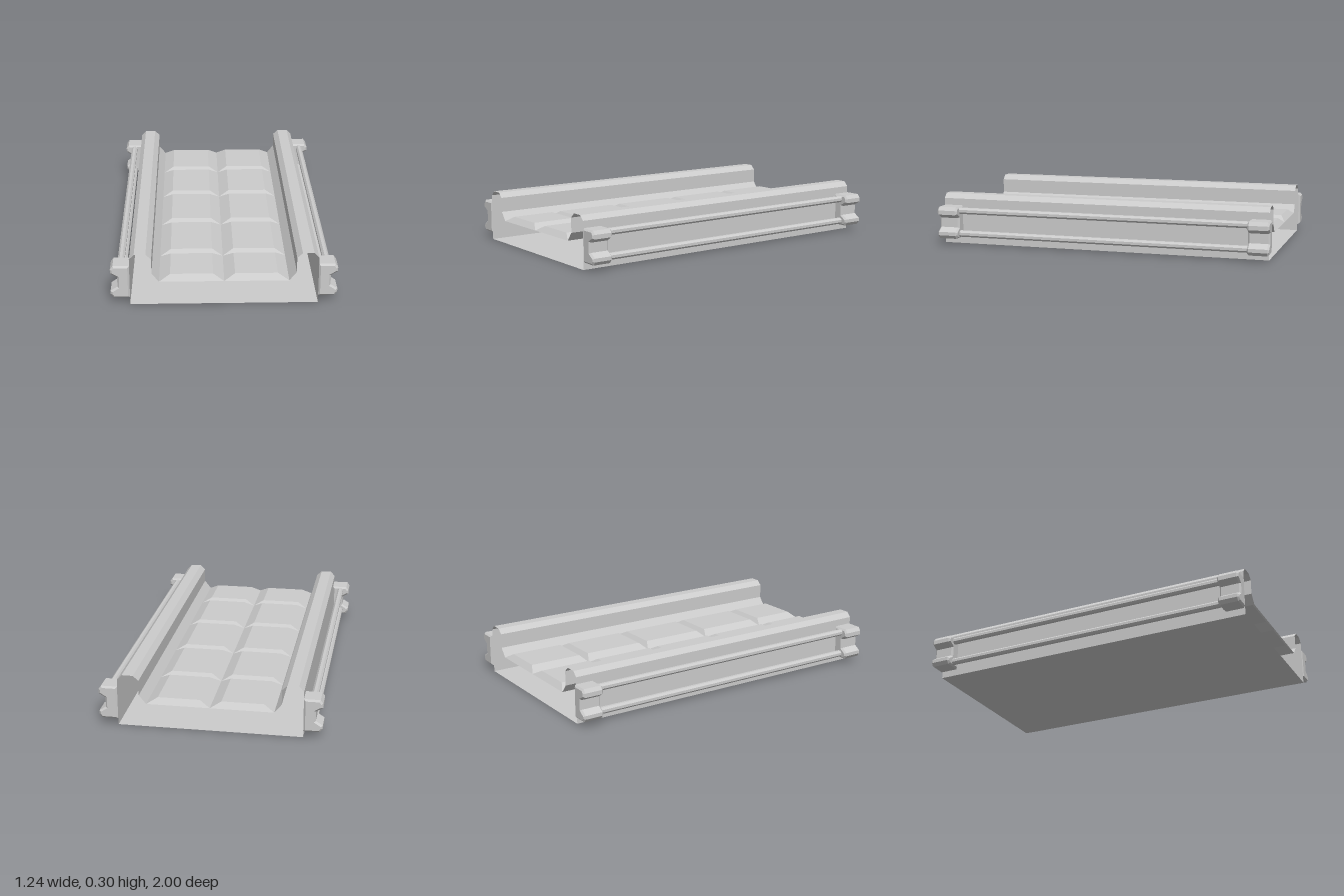
import * as THREE from 'three';

const BACK = -0.985, FRONT = 0.992;

function material() {
  return new THREE.MeshStandardMaterial({ color: 0xcccccc, flatShading: true, side: THREE.DoubleSide });
}

// Flat-shaded geometry from a list of quads, each given as four corner points
function quads(list) {
  const pos = [];
  for (const [a, b, c, d] of list) pos.push(...a, ...b, ...c, ...a, ...c, ...d);
  const g = new THREE.BufferGeometry();
  g.setAttribute('position', new THREE.Float32BufferAttribute(pos, 3));
  g.computeVertexNormals();
  return g;
}

// Open-ended trough: side rails and underside swept along z
function troughGeometry() {
  const half = [[0.355, 0.135], [0.395, 0.185], [0.395, 0.27], [0.425, 0.298], [0.488, 0.298], [0.515, 0.27], [0.515, 0]];
  const mirrored = half.map(([x, y]) => [-x, y]).reverse();
  const profile = [...half, ...mirrored];
  const list = [];
  for (let i = 0; i < profile.length - 1; i++) {
    const [x0, y0] = profile[i], [x1, y1] = profile[i + 1];
    list.push([[x0, y0, FRONT], [x0, y0, BACK], [x1, y1, BACK], [x1, y1, FRONT]]);
  }
  return quads(list);
}

// Raised floor panel with four sloping edges and no bottom
function panelGeometry(x0, x1, z0, z1) {
  const ring = (y, dx, dz) => [
    [x0 + dx, y, z0 + dz], [x0 + dx, y, z1 - dz], [x1 - dx, y, z1 - dz], [x1 - dx, y, z0 + dz]];
  const low = ring(0.135, 0, 0), high = ring(0.167, 0.06, 0.03);
  const list = [high];
  for (let i = 0; i < 4; i++) {
    const j = (i + 1) % 4;
    list.push([low[i], low[j], high[j], high[i]]);
  }
  return quads(list);
}

// Bevelled, notched block; the bevel grows the outline by its own size
function blockGeometry() {
  const b = 0.01, depth = 0.125;
  const outline = [[0.525, 0.05], [0.6, 0.05], [0.61, 0.063], [0.61, 0.075], [0.572, 0.1],
    [0.572, 0.167], [0.61, 0.19], [0.61, 0.206], [0.6, 0.22], [0.525, 0.22]];
  const shape = new THREE.Shape(outline.map(([x, y]) => new THREE.Vector2(x, y)));
  const g = new THREE.ExtrudeGeometry(shape, {
    depth: depth - 2 * b, bevelEnabled: true, bevelSize: b, bevelThickness: b, bevelSegments: 1 });
  g.translate(0, 0, b - depth / 2);
  return g;
}

export function createModel() {
  const model = new THREE.Group();
  const mat = material();
  const add = (name, geometry, parent = model) => {
    const mesh = new THREE.Mesh(geometry, mat);
    mesh.name = name;
    parent.add(mesh);
    return mesh;
  };

  add('trough', troughGeometry());

  // Two columns of floor panels
  const floor = new THREE.Group();
  floor.name = 'floorPanels';
  model.add(floor);
  const cuts = [BACK, -0.61, -0.19, 0.245, 0.675, FRONT];
  for (let i = 0; i < cuts.length - 1; i++) {
    add('floorPanel', panelGeometry(-0.355, 0, cuts[i], cuts[i + 1]), floor);
    add('floorPanel', panelGeometry(0, 0.355, cuts[i], cuts[i + 1]), floor);
  }

  // Corner blocks with a pair of rods between them, on both sides
  for (const side of [1, -1]) {
    const group = new THREE.Group();
    group.name = side > 0 ? 'leftSide' : 'rightSide';
    for (const z of [-0.9375, 0.9325]) add('cornerBlock', blockGeometry(), group).position.z = z;
    for (const y of [0.067, 0.205]) {
      const rod = new THREE.CylinderGeometry(0.02, 0.02, 1.76, 8, 1, true);
      rod.rotateY(Math.PI / 8);
      rod.rotateX(Math.PI / 2);
      add('sideRod', rod, group).position.set(0.565, y, 0);
    }
    if (side < 0) group.rotation.y = Math.PI;
    // Keep the uneven end offsets matched after turning
    if (side < 0) group.position.z = -0.005;
    model.add(group);
  }
  return model;
}
